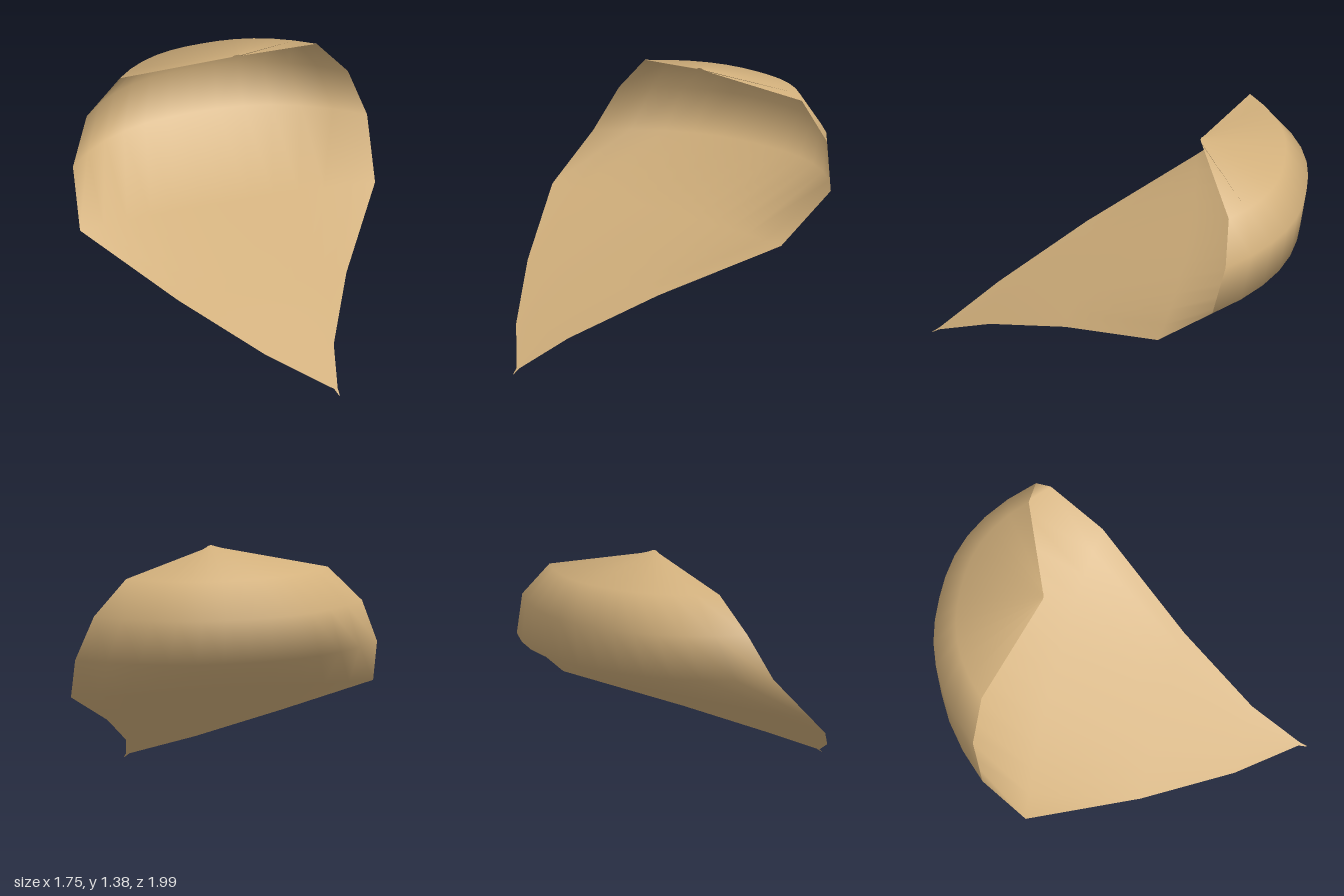
import * as THREE from 'three';

// Cross-sections from the front tip up to the curled rim:
// [height, left x, right x, left-edge z, right-edge z, depth of the bow, rise of the middle]
const sections = [
  [0.005, 0.078, 0.082, 0.99, 0.99, 0, 0],
  [0.03, 0.065, 0.085, 0.95, 0.95, 0, 0],
  [0.155, -0.21, 0.175, 0.67, 0.67, 0.005, 0],
  [0.35, -0.54, 0.42, 0.24, 0.24, 0.015, 0],
  [0.585, -0.88, 0.8, -0.3, -0.3, 0.05, 0],
  [0.84, -0.82, 0.875, -0.55, -0.6, 0.39, 0],
  [1.08, -0.71, 0.79, -0.63, -0.66, 0.355, 0],
  [1.27, -0.52, 0.61, -0.63, -0.655, 0.243, 0],
  [1.372, 0.04, 0.1, -0.448, -0.45, -0.009, 0.013],
];
const COLUMNS = 12;

// Joins the bowed cross-sections into one open sheet
function bowedSheet() {
  const positions = [];
  const indices = [];
  sections.forEach(([y, x0, x1, z0, z1, depth, rise], row) => {
    for (let i = 0; i <= COLUMNS; i++) {
      const u = i / COLUMNS;
      const bow = 1 - Math.abs(2 * u - 1) ** 2.4;
      positions.push(
        THREE.MathUtils.lerp(x0, x1, u),
        y + rise * bow,
        THREE.MathUtils.lerp(z0, z1, u) - depth * bow
      );
      if (row > 0 && i > 0) {
        const d = row * (COLUMNS + 1) + i;
        const c = d - 1;
        const b = d - COLUMNS - 1;
        const a = b - 1;
        indices.push(a, b, d, a, d, c);
      }
    }
  });
  const geometry = new THREE.BufferGeometry();
  geometry.setAttribute('position', new THREE.Float32BufferAttribute(positions, 3));
  geometry.setIndex(indices);
  geometry.computeVertexNormals();
  return geometry;
}

export function createModel() {
  const model = new THREE.Group();
  model.name = 'curledLeaf';

  // Thin curled blade, seen from both sides
  const blade = new THREE.Mesh(
    bowedSheet(),
    new THREE.MeshStandardMaterial({ color: 0xd2b07c, side: THREE.DoubleSide })
  );
  blade.name = 'blade';
  model.add(blade);
  return model;
}
